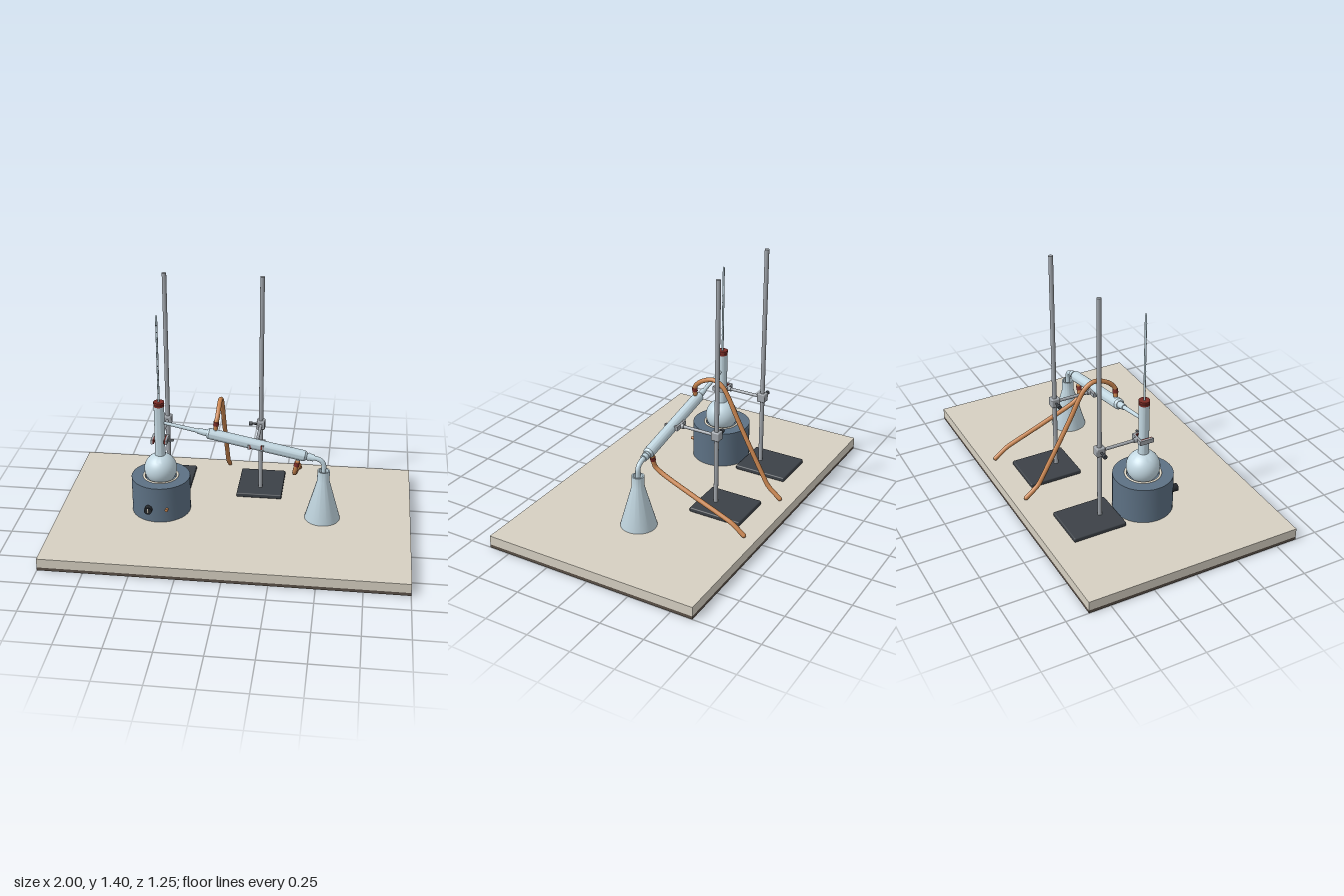
import * as THREE from 'three';
import { toCreasedNormals } from 'three/addons/utils/BufferGeometryUtils.js';
import { RoundedBoxGeometry } from 'three/addons/geometries/RoundedBoxGeometry.js';

const mat = (name, color) => Object.assign(new THREE.MeshStandardMaterial({ color }), { name });
const M = {
  bench: mat('bench stone', 0xd6d0c2),
  under: mat('bench underside', 0x5a5047),
  mantle: mat('mantle blue grey', 0x5d7184),
  glass: mat('pale glass', 0xc3d8e2),
  steel: mat('steel', 0xa0a5ab),
  iron: mat('dark iron', 0x3c4147),
  red: mat('red rubber', 0x7d2c26),
  hose: mat('orange hose', 0xc9854f),
  cream: mat('cream liner', 0xe0d8c6),
  black: mat('black knob', 0x24272b),
};
const V = (x, y, z = 0) => new THREE.Vector3(x, y, z);
const UP = V(0, 1, 0);

function add(parent, name, geo, material, x = 0, y = 0, z = 0) {
  const m = new THREE.Mesh(geo, material);
  m.name = name;
  m.position.set(x, y, z);
  parent.add(m);
  return m;
}
const box = (p, name, m, w, h, d, x, y, z) => add(p, name, new THREE.BoxGeometry(w, h, d), m, x, y, z);

// Solid of revolution from [radius, height] pairs, listed bottom to top
function lathe(p, name, m, pts, x = 0, y = 0, z = 0) {
  const geo = new THREE.LatheGeometry(pts.map(([r, h]) => new THREE.Vector2(r, h)), 40);
  return add(p, name, toCreasedNormals(geo, 0.6), m, x, y, z);
}

// Cylinder between two points
function rod(p, name, m, a, b, r1, r2 = r1) {
  const d = b.clone().sub(a);
  const mesh = add(p, name, new THREE.CylinderGeometry(r2, r1, d.length(), 24), m);
  mesh.position.copy(a).add(b).multiplyScalar(0.5);
  mesh.quaternion.setFromUnitVectors(UP, d.normalize());
  return mesh;
}

// Capped bent tube through a few points
function tube(p, name, m, pts, r) {
  const curve = new THREE.CatmullRomCurve3(pts, false, 'centripetal');
  add(p, name, new THREE.TubeGeometry(curve, 80, r, 14), m);
  for (const e of [pts[0], pts[pts.length - 1]]) add(p, name + 'End', new THREE.SphereGeometry(r, 14, 10), m, e.x, e.y, e.z);
}

// Retort stand with boss head, arm and two-prong clamp
function stand(parent, name, x, clampY) {
  const g = new THREE.Group();
  g.name = name;
  g.position.x = x;
  parent.add(g);
  const z = -0.265;
  add(g, 'standBase', new RoundedBoxGeometry(0.264, 0.026, 0.31, 3, 0.007), M.iron, 0, 0.084, -0.326);
  rod(g, 'standRod', M.steel, V(0, 0.09, z), V(0, 1.405, z), 0.0125);
  add(g, 'bossHead', new RoundedBoxGeometry(0.048, 0.052, 0.05, 2, 0.006), M.steel, 0, clampY, z);
  rod(g, 'bossScrew', M.iron, V(-0.02, clampY, z), V(-0.055, clampY, z), 0.006);
  rod(g, 'bossKnob', M.iron, V(-0.05, clampY, z), V(-0.07, clampY, z), 0.012);
  rod(g, 'clampArm', M.steel, V(0, clampY, z), V(0, clampY, -0.04), 0.009);
  rod(g, 'clampCollar', M.steel, V(0, clampY, -0.062), V(0, clampY, -0.04), 0.014);
  box(g, 'clampBar', M.steel, 0.092, 0.026, 0.012, 0, clampY, -0.039);
  rod(g, 'clampScrew', M.iron, V(0.04, clampY), V(0.078, clampY), 0.007);
  for (const s of [-1, 1]) {
    box(g, 'clampProng', M.steel, 0.011, 0.026, 0.074, s * 0.0405, clampY, 0);
    box(g, 'prongPad', M.red, 0.008, 0.024, 0.066, s * 0.032, clampY, 0.002);
  }
}

export function createModel() {
  const root = new THREE.Group();
  root.name = 'distillationSetup';

  // Bench slab
  box(root, 'benchBase', M.under, 2, 0.018, 1.245, 0, 0.009, 0);
  box(root, 'benchTop', M.bench, 2, 0.053, 1.245, 0, 0.0445, 0);

  // Heating mantle with a hollow top
  const fx = -0.425;
  const mantle = new THREE.Group();
  mantle.name = 'heatingMantle';
  mantle.position.x = fx;
  root.add(mantle);
  lathe(mantle, 'mantleBody', M.mantle,
    [[0, 0.071], [0.167, 0.071], [0.167, 0.284], [0.1, 0.284], [0.1, 0.24], [0, 0.22]]);
  const liner = add(mantle, 'mantleLiner', new THREE.TorusGeometry(0.096, 0.007, 10, 40), M.cream, 0, 0.282, 0);
  liner.rotation.x = Math.PI / 2;
  rod(mantle, 'controlKnob', M.black, V(-0.045, 0.152, 0.15), V(-0.045, 0.152, 0.19), 0.022);
  box(mantle, 'knobMark', M.cream, 0.006, 0.026, 0.003, -0.045, 0.154, 0.191);
  rod(mantle, 'indicatorLamp', M.hose, V(0.057, 0.152, 0.14), V(0.057, 0.152, 0.172), 0.009);

  // Round-bottomed flask with its tall neck
  const bulb = [];
  for (let i = 0; i <= 20; i++) {
    const a = -Math.PI / 2 + (i / 20) * 2.82;
    bulb.push([0.093 * Math.cos(a), 0.33 + 0.093 * Math.sin(a)]);
  }
  bulb[0][0] = 0;
  lathe(root, 'boilingFlask', M.glass, bulb.concat([[0.029, 0.43], [0.029, 0.721], [0, 0.721]]), fx);
  lathe(root, 'stopper', M.red,
    [[0, 0.719], [0.0295, 0.719], [0.0295, 0.73], [0.0275, 0.731], [0.0275, 0.733], [0.0305, 0.734], [0.0305, 0.746], [0, 0.746]], fx);

  // Thermometer with scale marks
  rod(root, 'thermometer', M.glass, V(fx, 0.74), V(fx, 1.25), 0.0058);
  add(root, 'thermometerTip', new THREE.SphereGeometry(0.0058, 16, 10), M.glass, fx, 1.25, 0);
  for (let i = 0; i < 11; i++) {
    box(root, 'scaleMark', M.iron, 0.006, 0.004, 0.002, fx, 0.8 + i * 0.04, 0.0052);
  }

  // Sloping condenser line
  const axis = (x) => V(x, 0.537 - 0.2 * x);
  rod(root, 'sideArm', M.glass, axis(-0.42), axis(-0.2), 0.009, 0.012);
  rod(root, 'upperJoint', M.glass, axis(-0.208), axis(-0.145), 0.016, 0.02);
  const start = axis(-0.158), end = axis(0.403);
  const len = start.distanceTo(end);
  const jacket = lathe(root, 'condenserJacket', M.glass,
    [[0, 0], [0.022, 0], [0.031, 0.012], [0.031, len - 0.012], [0.022, len], [0, len]], start.x, start.y, 0);
  jacket.quaternion.setFromUnitVectors(UP, end.clone().sub(start).normalize());
  rod(root, 'lowerJoint', M.glass, axis(0.395), axis(0.442), 0.02);
  rod(root, 'lowerJointRim', M.glass, axis(0.41), axis(0.418), 0.023);
  tube(root, 'receiverBend', M.glass, [axis(0.43), axis(0.46), V(0.485, 0.433), V(0.499, 0.41), V(0.5, 0.36)], 0.0135);

  // Conical receiving flask
  lathe(root, 'receivingFlask', M.glass,
    [[0, 0.071], [0.1, 0.071], [0.1, 0.076], [0.035, 0.31], [0.035, 0.373], [0.027, 0.373], [0.027, 0.34], [0, 0.34]], 0.5);

  // Water connections and hoses
  rod(root, 'upperNipple', M.glass, axis(-0.115), V(-0.105, 0.625), 0.01);
  rod(root, 'upperHoseClip', M.red, V(-0.106, 0.618), V(-0.103, 0.642), 0.0155);
  tube(root, 'upperHose', M.hose, [V(-0.107, 0.6), V(-0.103, 0.64), V(-0.099, 0.664, -0.014), V(-0.097, 0.697, -0.055),
    V(-0.097, 0.718, -0.127), V(-0.097, 0.69, -0.18), V(-0.097, 0.63, -0.22), V(-0.097, 0.514, -0.278),
    V(-0.097, 0.2, -0.448), V(-0.097, 0.15, -0.478), V(-0.097, 0.087, -0.553)], 0.013);
  rod(root, 'lowerNipple', M.glass, axis(0.36), V(0.35, 0.405), 0.01);
  rod(root, 'lowerHoseClip', M.red, V(0.352, 0.415), V(0.346, 0.392), 0.0155);
  tube(root, 'lowerHose', M.hose, [V(0.353, 0.422), V(0.345, 0.388), V(0.338, 0.352, -0.008), V(0.335, 0.325, -0.04),
    V(0.335, 0.24, -0.235), V(0.335, 0.158, -0.44), V(0.335, 0.14, -0.48), V(0.335, 0.087, -0.553)], 0.013);

  // Two retort stands
  stand(root, 'flaskStand', fx, 0.51);
  stand(root, 'condenserStand', 0.12, 0.51);

  return root;
}
